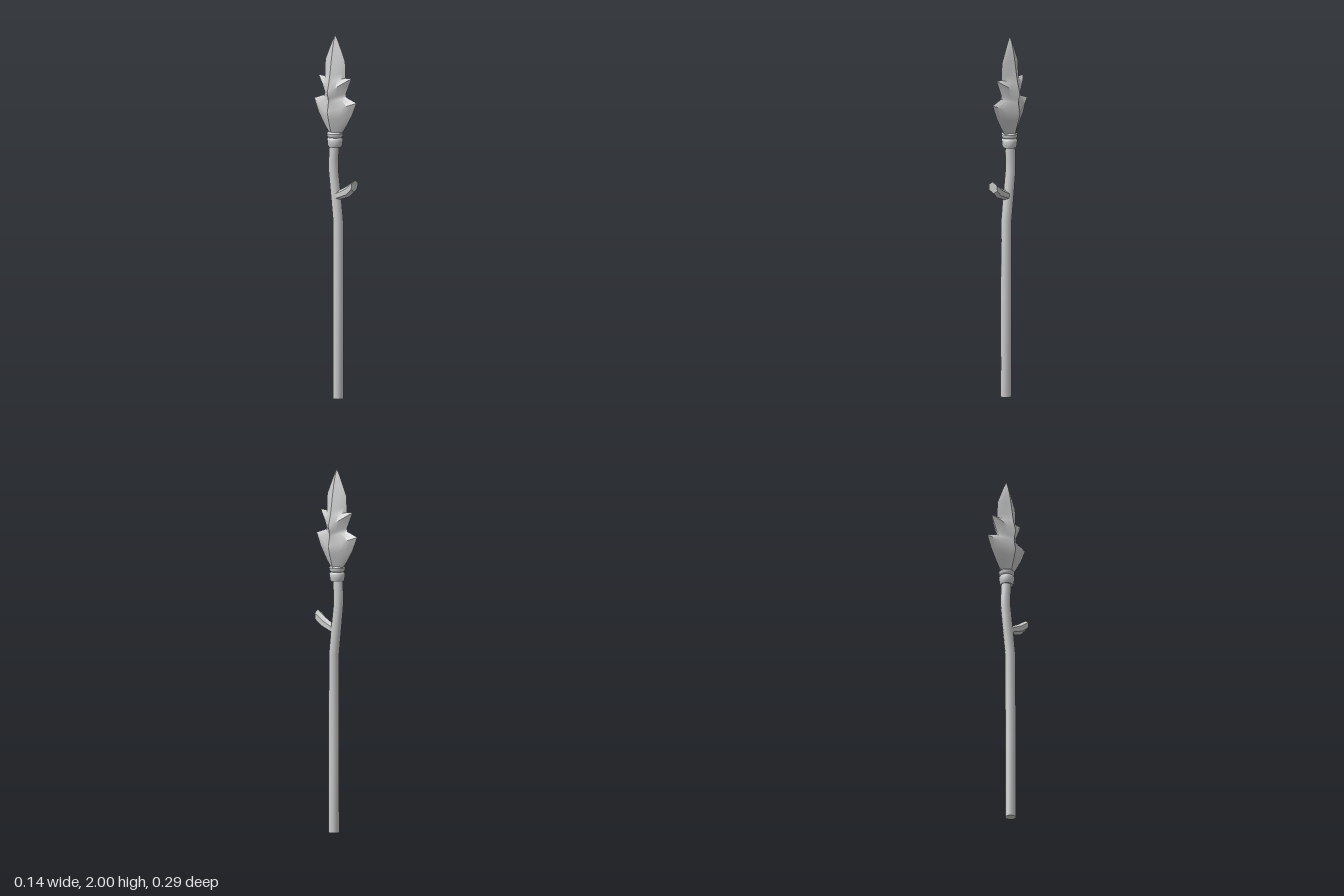
import * as THREE from 'three';
import { toCreasedNormals } from 'three/addons/utils/BufferGeometryUtils.js';

const material = new THREE.MeshStandardMaterial({ color: 0xcccccc });

// Skins a list of equal-length rings of [x, y, z] and closes both ends with fans.
function loft(name, rings, crease = 0.75) {
  const n = rings[0].length;
  const pos = rings.flat(2);
  const index = [];
  for (let i = 0; i < rings.length - 1; i++) {
    for (let j = 0; j < n; j++) {
      const a = i * n + j, b = i * n + (j + 1) % n;
      index.push(a, a + n, b, b, a + n, b + n);
    }
  }
  const last = (rings.length - 1) * n;
  for (let j = 1; j < n - 1; j++) {
    index.push(0, j, j + 1, last, last + j + 1, last + j);
  }
  const geometry = new THREE.BufferGeometry();
  geometry.setAttribute('position', new THREE.Float32BufferAttribute(pos, 3));
  geometry.setIndex(index);
  const mesh = new THREE.Mesh(toCreasedNormals(geometry, crease), material);
  mesh.name = name;
  return mesh;
}

const around = (n, fn) => Array.from({ length: n }, (_, j) => fn((j / n) * Math.PI * 2));

// Level circular ring
const circle = (n, x, y, z, r) => around(n, (t) => [x + r * Math.cos(t), y, z + r * Math.sin(t)]);

// Diamond ring, sharp at the x ridges and rounded at the z edges;
// its height runs from yx at the ridges to yz at the edges.
const diamond = (a, b, yx, yz) => around(24, (t) => {
  const s = Math.sin(t), c = Math.cos(t);
  const k = (2 / Math.PI) * Math.asin(Math.abs(s)); // 0 at ridge, 1 at edge
  const x = Math.sign(c) * a * (1 - k) * (1 + 0.35 * k * k);
  return [Math.abs(c) < 1e-6 ? 0 : x, yx + (yz - yx) * k, Math.sign(s) * b * k];
});

export function createModel() {
  const group = new THREE.Group();
  group.name = 'spear';

  // Wooden shaft, straight below and bent towards the head: [x, y, z, radius]
  const shaft = [
    [-0.007, 0, 0.026, 0.03], [-0.006, 0.5, 0.026, 0.03], [-0.005, 0.98, 0.024, 0.029],
    [-0.004, 1.09, 0.011, 0.029], [-0.003, 1.25, -0.009, 0.028],
    [-0.003, 1.32, -0.009, 0.028], [-0.003, 1.42, -0.002, 0.028],
  ];
  group.add(loft('shaft', shaft.map((p) => circle(10, ...p))));

  // Broken side twig, six-sided, curving upwards: [y, z, radius, lean]
  const twig = [
    [1.11, 0.005, 0.026, 0], [1.13, 0.055, 0.026, 0.25],
    [1.148, 0.095, 0.028, 0.35], [1.181, 0.137, 0.033, -0.1],
  ];
  group.add(loft('twig', twig.map(([y, z, r, lean]) => around(6, (t) => [
    -0.005 + r * Math.sin(t), y + r * Math.cos(t), z - r * Math.cos(t) * lean,
  ]))));

  // Two lashings holding the head
  const lashings = [
    [[1.383, 0.036], [1.395, 0.041], [1.425, 0.044], [1.437, 0.036]],
    [[1.435, 0.036], [1.444, 0.044], [1.458, 0.045], [1.468, 0.036]],
  ];
  lashings.forEach((profile, i) => {
    group.add(loft(`lashing${i + 1}`, profile.map(([y, r]) => circle(12, -0.003, y, 0, r))));
  });

  // Leaf-shaped head with two barbed tiers: [half x, half z, ridge y, edge y]
  const head = [
    [0.035, 0.05, 1.455, 1.465], [0.046, 0.075, 1.49, 1.5], [0.06, 0.115, 1.535, 1.565],
    [0.071, 0.147, 1.58, 1.638],
    [0.06, 0.076, 1.635, 1.663], [0.063, 0.073, 1.655, 1.682],
    [0.071, 0.114, 1.69, 1.77],
    [0.056, 0.072, 1.745, 1.768], [0.047, 0.072, 1.79, 1.795], [0.036, 0.068, 1.86, 1.86],
    [0.025, 0.041, 1.92, 1.92], [0.014, 0.02, 1.965, 1.965], [0.001, 0.001, 2, 2],
  ];
  group.add(loft('head', head.map((p) => diamond(...p))));

  return group;
}
